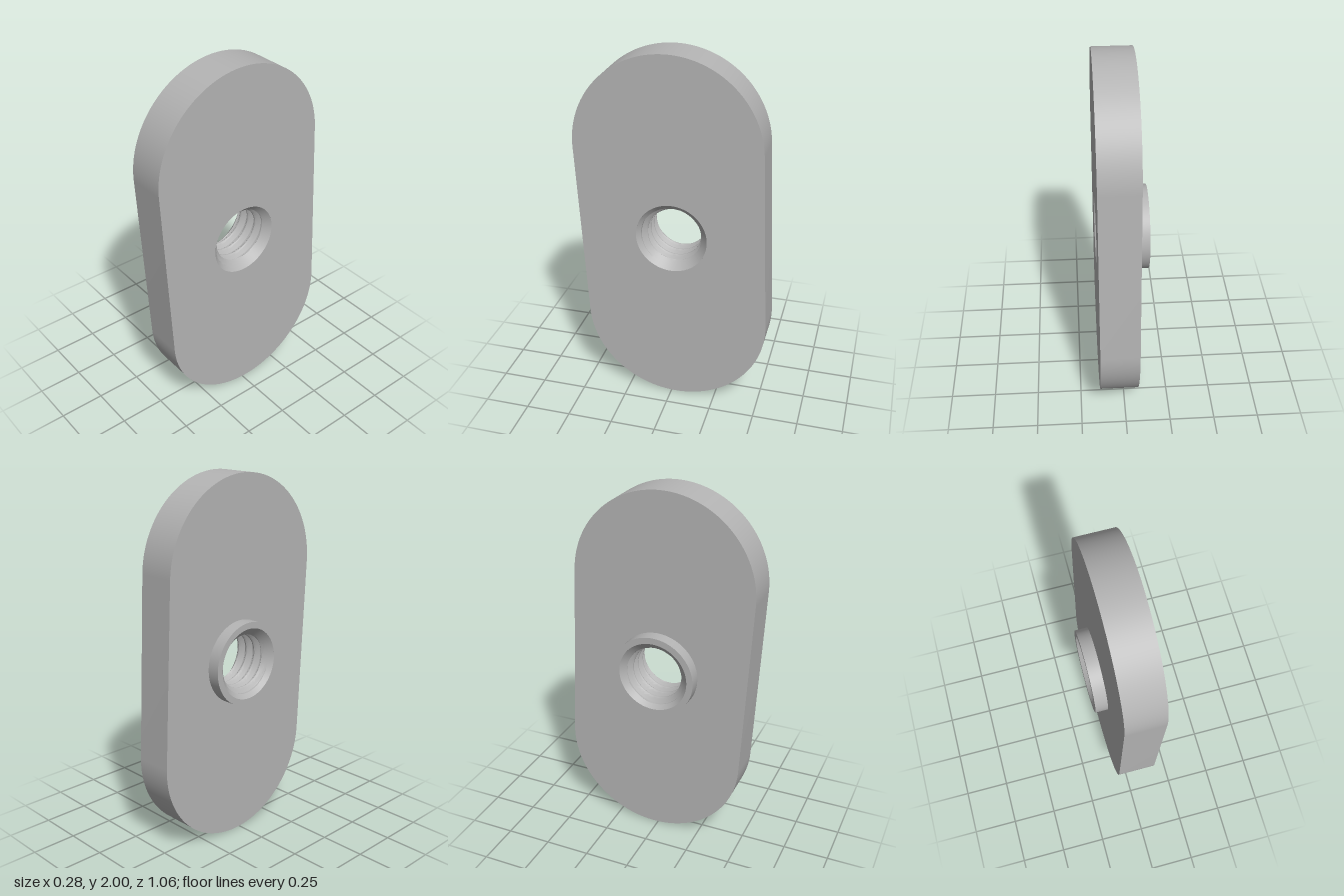
import * as THREE from 'three';
import { toCreasedNormals } from 'three/addons/utils/BufferGeometryUtils.js';

const X_BACK = -0.142, X_SEAT = -0.073, X_FACE = 0.14; // along the hole axis
const HOLE_Y = 1, MOUTH_R = 0.195, BOSS_R = 0.23;
const MINOR_R = 0.145, MAJOR_R = 0.172, PITCH = 0.06;

// Extrudes an outline (drawn as -z, y) along x, with the round hole cut out
function slab(shape, x0, x1) {
  shape.holes.push(new THREE.Path().absarc(0, HOLE_Y, MOUTH_R, 0, Math.PI * 2, true));
  const g = new THREE.ExtrudeGeometry(shape, { depth: x1 - x0, bevelEnabled: false, curveSegments: 64 });
  g.rotateY(Math.PI / 2).translate(x0, 0, 0);
  return toCreasedNormals(g, 0.6);
}

// Radius of the bore: trapezoid thread, opened by a chamfer at both mouths
function boreRadius(x, phase) {
  const f = Math.abs(phase - Math.round(phase)) * 2; // 0 at groove, 1 at crest
  const k = THREE.MathUtils.clamp((0.85 - f) / 0.65, 0, 1);
  const chamfer = MOUTH_R - Math.min(x - X_BACK, X_FACE - x);
  return Math.max(MINOR_R + (MAJOR_R - MINOR_R) * k, chamfer);
}

// Rows follow the helix and are clamped to the two mouths
function threadGeometry() {
  const perTurn = 20, around = 96;
  const turns = Math.ceil((X_FACE - X_BACK) / PITCH) + 1;
  const rows = turns * perTurn, pos = [], index = [];
  for (let i = 0; i <= rows; i++) {
    for (let j = 0; j <= around; j++) {
      const a = (j / around) * Math.PI * 2;
      const raw = X_BACK + (i / perTurn - 1 + j / around) * PITCH;
      const x = THREE.MathUtils.clamp(raw, X_BACK, X_FACE);
      const r = boreRadius(x, (x - X_BACK) / PITCH - j / around);
      pos.push(x, HOLE_Y + r * Math.cos(a), r * Math.sin(a));
      if (i < rows && j < around) {
        const p = i * (around + 1) + j, q = p + around + 1;
        index.push(p, q, p + 1, q, q + 1, p + 1);
      }
    }
  }
  const g = new THREE.BufferGeometry();
  g.setAttribute('position', new THREE.Float32BufferAttribute(pos, 3));
  g.setIndex(index);
  return toCreasedNormals(g, 0.5);
}

export function createModel() {
  const group = new THREE.Group();
  group.name = 'slotNut';
  const steel = new THREE.MeshStandardMaterial({ color: 0xb4b4b4 });
  steel.name = 'steel grey';
  const add = (name, geometry) => {
    const mesh = new THREE.Mesh(geometry, steel);
    mesh.name = name;
    group.add(mesh);
  };

  // Slightly tilted stadium plate
  const r = 0.505, dz = 0.025, tilt = Math.atan2(dz, 1 - r);
  const outline = new THREE.Shape();
  outline.absarc(-dz, 2 - r, r, tilt, Math.PI + tilt, false);
  outline.absarc(dz, r, r, Math.PI + tilt, Math.PI * 2 + tilt, false);
  outline.closePath();
  add('plate', slab(outline, X_SEAT, X_FACE));

  // Raised collar around the hole
  const ring = new THREE.Shape().absarc(0, HOLE_Y, BOSS_R, 0, Math.PI * 2, false);
  add('collar', slab(ring, X_BACK, X_SEAT));

  // Threaded, chamfered bore
  add('threadedHole', threadGeometry());
  return group;
}
